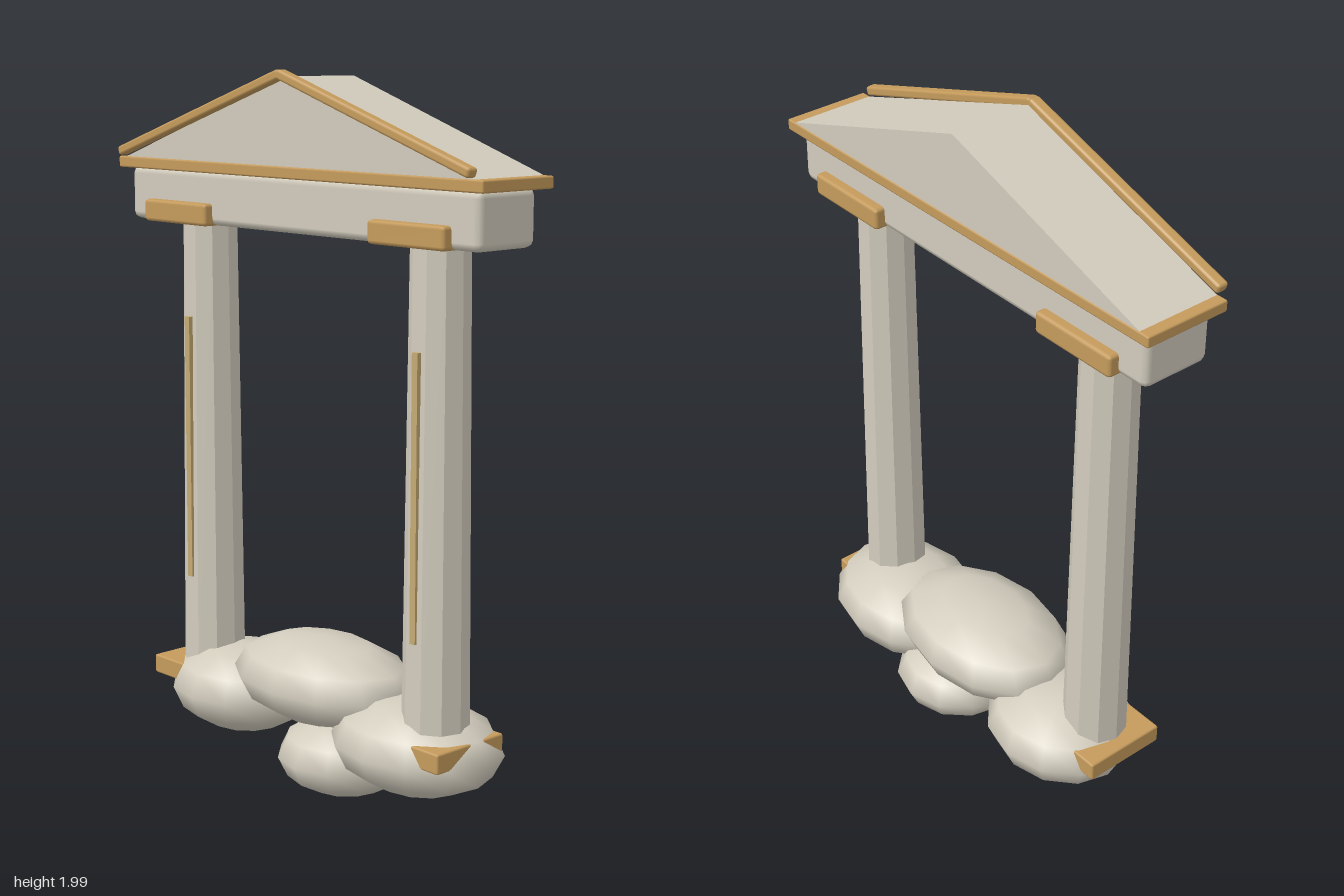
import * as THREE from 'three';
import { RoundedBoxGeometry } from 'three/addons/geometries/RoundedBoxGeometry.js';

export function createModel() {
  const model = new THREE.Group();
  model.name = 'cloudTempleGate';
  const material = (name, color, flatShading = false) => {
    const m = new THREE.MeshStandardMaterial({ color, flatShading });
    m.name = name;
    return m;
  };
  const stone = material('stone', 0xd2ccbd);
  const facetedStone = material('facetedStone', 0xd2ccbd, true);
  const gold = material('gold', 0xc59b5c);
  const paleGold = material('paleGold', 0xc4aa72);

  const add = (name, geometry, mat, x, y, z) => {
    const mesh = new THREE.Mesh(geometry, mat);
    mesh.name = name;
    mesh.position.set(x, y, z);
    model.add(mesh);
    return mesh;
  };
  // Box with softened edges, given by its size and bevel
  const block = (w, h, d, bevel) => new RoundedBoxGeometry(w, h, d, 1, bevel);

  // Cloud puffs: x, y, half width, half height
  const puffs = [
    [-0.345, 0.21, 0.232, 0.128],
    [0.365, 0.212, 0.262, 0.128],
    [0, 0.31, 0.312, 0.124],
    [0.1, 0.118, 0.196, 0.112],
  ];
  for (const [x, y, rx, ry] of puffs) {
    const geometry = new THREE.SphereGeometry(1, 12, 6);
    geometry.scale(rx, ry, 0.207);
    add('cloudPuff', geometry, stone, x, y, 0);
  }

  // Columns with plinth, capital and front inlay
  for (const side of [-1, 1]) {
    const x = side * 0.457;
    const shaft = new THREE.CylinderGeometry(0.079, 0.092, 1.33, 10);
    shaft.rotateY(Math.PI / 2);
    add('columnShaft', shaft, facetedStone, x, 0.915, 0.023);
    add('columnPlinth', block(0.26, 0.056, 0.25, 0.006), gold, x, 0.247, 0.024);
    add('columnCapital', block(0.272, 0.062, 0.265, 0.01), gold, x, 1.598, 0.023);
    add('columnInlay', new THREE.BoxGeometry(0.02, 0.765, 0.016), paleGold, x, 0.917, 0.106);
  }

  // Beam and cornice
  add('beam', block(1.37, 0.15, 0.208, 0.02), stone, 0, 1.643, 0.024);
  add('cornice', block(1.43, 0.032, 0.258, 0.005), gold, 0, 1.73, 0.021);

  // Gabled pediment
  const gable = new THREE.Shape([
    new THREE.Vector2(-0.685, 1.745),
    new THREE.Vector2(0.685, 1.745),
    new THREE.Vector2(0, 1.98),
  ]);
  const pediment = new THREE.ExtrudeGeometry(gable, { depth: 0.25, bevelEnabled: false });
  add('pediment', pediment, facetedStone, 0, 0, -0.105);

  // Sloping trims on the front edge of the gable
  const rise = 0.224, run = 0.685;
  for (const side of [-1, 1]) {
    const trim = add('gableTrim', block(Math.hypot(rise, run) + 0.008, 0.027, 0.034, 0.008), gold,
      side * run / 2, 1.762 + rise / 2, 0.157);
    trim.rotation.z = -side * Math.atan2(rise, run);
  }
  return model;
}
